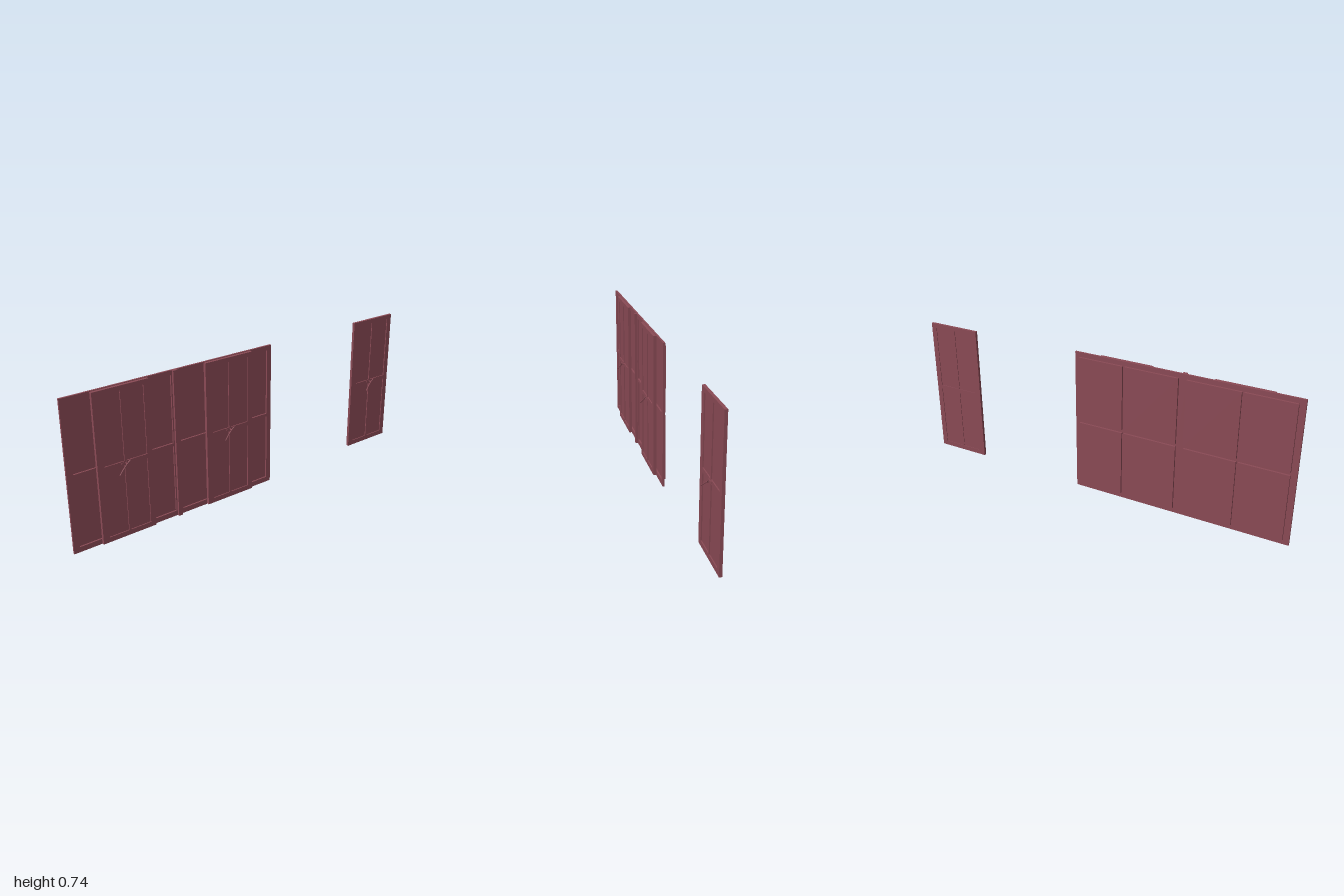
import * as THREE from 'three';

const material = new THREE.MeshStandardMaterial({ color: 0x8a4a55 });

function add(parent, name, geometry) {
  const mesh = new THREE.Mesh(geometry, material);
  mesh.name = name;
  parent.add(mesh);
  return mesh;
}

// Box given by its two opposite corners
function block(parent, name, x0, x1, y0, y1, z0, z1) {
  const mesh = add(parent, name, new THREE.BoxGeometry(x1 - x0, y1 - y0, z1 - z0));
  mesh.position.set((x0 + x1) / 2, (y0 + y1) / 2, (z0 + z1) / 2);
}

function rectangle(path, x0, x1, y0, y1) {
  path.moveTo(x0, y0);
  path.lineTo(x1, y0);
  path.lineTo(x1, y1);
  path.lineTo(x0, y1);
  path.closePath();
  return path;
}

// Flat frame with rectangular openings
function frame(parent, name, [x0, x1, y0, y1], openings, z0, z1) {
  const shape = rectangle(new THREE.Shape(), x0, x1, y0, y1);
  for (const o of openings) shape.holes.push(rectangle(new THREE.Path(), ...o));
  const geometry = new THREE.ExtrudeGeometry(shape, { depth: z1 - z0, bevelEnabled: false });
  add(parent, name, geometry).position.z = z0;
}

// Four openings split by a mullion and a middle rail
function quarters(x0, x1, y0, y1, midX, midY, barX, barY) {
  const list = [];
  for (const [a, b] of [[x0, midX - barX / 2], [midX + barX / 2, x1]])
    for (const [c, d] of [[y0, midY - barY / 2], [midY + barY / 2, y1]])
      list.push([a, b, c, d]);
  return list;
}

// Lever handle: short stem and a curved grip swept to one side
function handle(parent, x, y, z) {
  const group = new THREE.Group();
  group.name = 'handle';
  group.position.set(x, y, z);
  const stem = add(group, 'handleStem', new THREE.CylinderGeometry(0.003, 0.003, 0.018, 10));
  stem.rotation.x = Math.PI / 2;
  stem.position.z = 0.007;
  block(group, 'handlePlate', -0.024, 0.015, -0.004, 0.004, -0.004, 0.002);
  const curve = new THREE.CatmullRomCurve3([
    new THREE.Vector3(0.015, 0.013, 0.014),
    new THREE.Vector3(0.002, 0.002, 0.013),
    new THREE.Vector3(-0.022, -0.017, 0.018),
    new THREE.Vector3(-0.046, -0.038, 0.025),
  ]);
  add(group, 'handleLever', new THREE.TubeGeometry(curve, 20, 0.0025, 8));
  for (const t of [0, 1])
    add(group, 'leverEnd', new THREE.SphereGeometry(0.0025, 8, 6)).position.copy(curve.getPoint(t));
  parent.add(group);
}

// Door leaf with four recessed panes and a handle
function leaf(parent, name, x0, x1, y0, y1, z0, z1, railY) {
  const group = new THREE.Group();
  group.name = name;
  const mid = (x0 + x1) / 2;
  const openings = quarters(x0 + 0.033, x1 - 0.028, y0 + 0.025, y1 - 0.022, mid, railY, 0.01, 0.02);
  frame(group, 'leafFrame', [x0, x1, y0, y1], openings, z0, z1);
  for (const [a, b, c, d] of openings) block(group, 'leafPane', a, b, c, d, z0 + 0.003, z1 - 0.005);
  handle(group, mid, railY, z1);
  parent.add(group);
}

export function createModel() {
  const model = new THREE.Group();
  model.name = 'slidingDoors';

  // Wide fixed frame with two bays of four openings
  const bays = [[-0.97, -0.455, -0.722], [-0.415, 0.105, -0.135]];
  const openings = bays.flatMap(([a, b, m]) => quarters(a, b, 0.03, 0.725, m, 0.382, 0.01, 0.015));
  frame(model, 'wallFrame', [-1, 0.13, 0.004, 0.748], openings, -0.02, -0.01);

  // Panels set behind each opening
  for (const [a, b, c, d] of openings) block(model, 'backPanel', a, b, c, d, -0.03, -0.018);

  // Post between the bays
  block(model, 'centrePost', -0.449, -0.427, 0.004, 0.748, -0.012, 0.002);

  // Two leaves hung on the frame and one standing apart
  leaf(model, 'rightLeaf', -0.86, -0.58, 0.007, 0.745, -0.01, 0.005, 0.377);
  leaf(model, 'middleLeaf', -0.275, -0.001, 0.007, 0.745, -0.01, 0.005, 0.377);
  leaf(model, 'leftLeaf', 0.716, 1, 0.024, 0.744, -0.032, -0.018, 0.383);

  return model;
}
